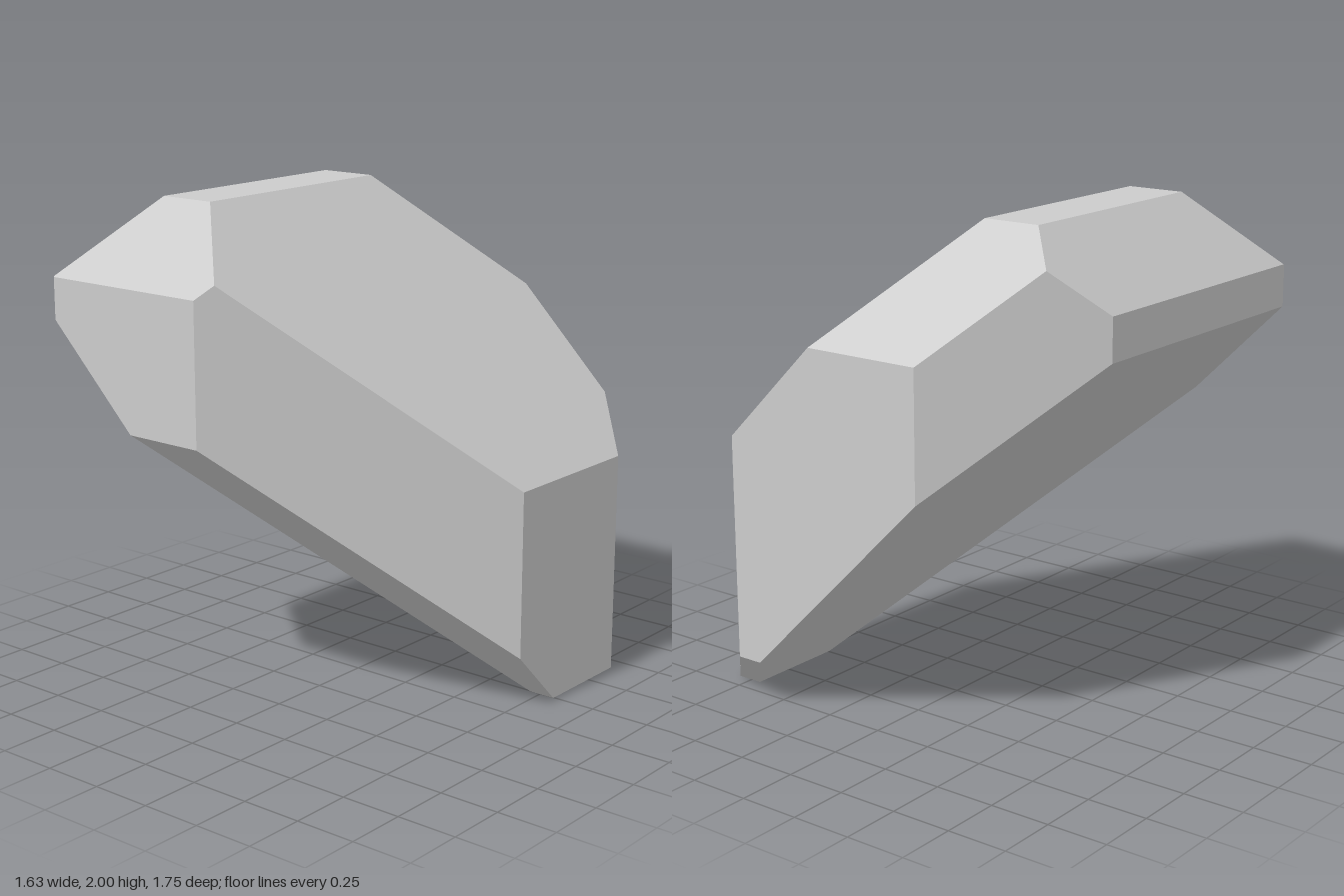
import * as THREE from 'three';
import { ConvexGeometry } from 'three/addons/geometries/ConvexGeometry.js';

// Bevelled block: each entry is a cutting plane a*x + b*y + c*z <= d
const CUTS = [
  // box sides
  [1, 0, 0, 0.815], [-1, 0, 0, 0.815],
  [0, 1, 0, 2], [0, -1, 0, 0],
  [0, 0, 1, 0.875], [0, 0, -1, 0.875],
  // 45 degree cuts along z
  [1, 1, 0, 1.735], [-1, -1, 0, -0.705], [-1, 1, 0, 2.51],
  // 45 degree cuts along x
  [0, 1, 1, 2.565], [0, 1, -1, 2.405], [0, -1, -1, 0.675], [0, -1, 1, -0.245],
  // 45 degree cuts along y
  [1, 0, 1, 0.81], [1, 0, -1, 1.49], [-1, 0, -1, 1.18],
];

// Corners are the points where three planes meet inside all the others
function cornersOf(cuts) {
  const planes = cuts.map(([a, b, c, d]) => ({ n: new THREE.Vector3(a, b, c), d }));
  const points = [];
  for (let i = 0; i < planes.length; i++)
    for (let j = i + 1; j < planes.length; j++)
      for (let k = j + 1; k < planes.length; k++) {
        const [p, q, r] = [planes[i], planes[j], planes[k]];
        const qr = q.n.clone().cross(r.n);
        const det = p.n.dot(qr);
        if (Math.abs(det) < 1e-6) continue;
        const v = qr.multiplyScalar(p.d)
          .addScaledVector(r.n.clone().cross(p.n), q.d)
          .addScaledVector(p.n.clone().cross(q.n), r.d)
          .divideScalar(det);
        const inside = planes.every(({ n, d }) => n.dot(v) <= d + 1e-6);
        if (inside && !points.some((o) => o.distanceTo(v) < 1e-4)) points.push(v);
      }
  return points;
}

export function createModel() {
  const group = new THREE.Group();
  group.name = 'bevelledBlock';
  const material = new THREE.MeshStandardMaterial({ color: 0xcccccc, flatShading: true });
  const block = new THREE.Mesh(new ConvexGeometry(cornersOf(CUTS)), material);
  block.name = 'block';
  group.add(block);
  return group;
}
